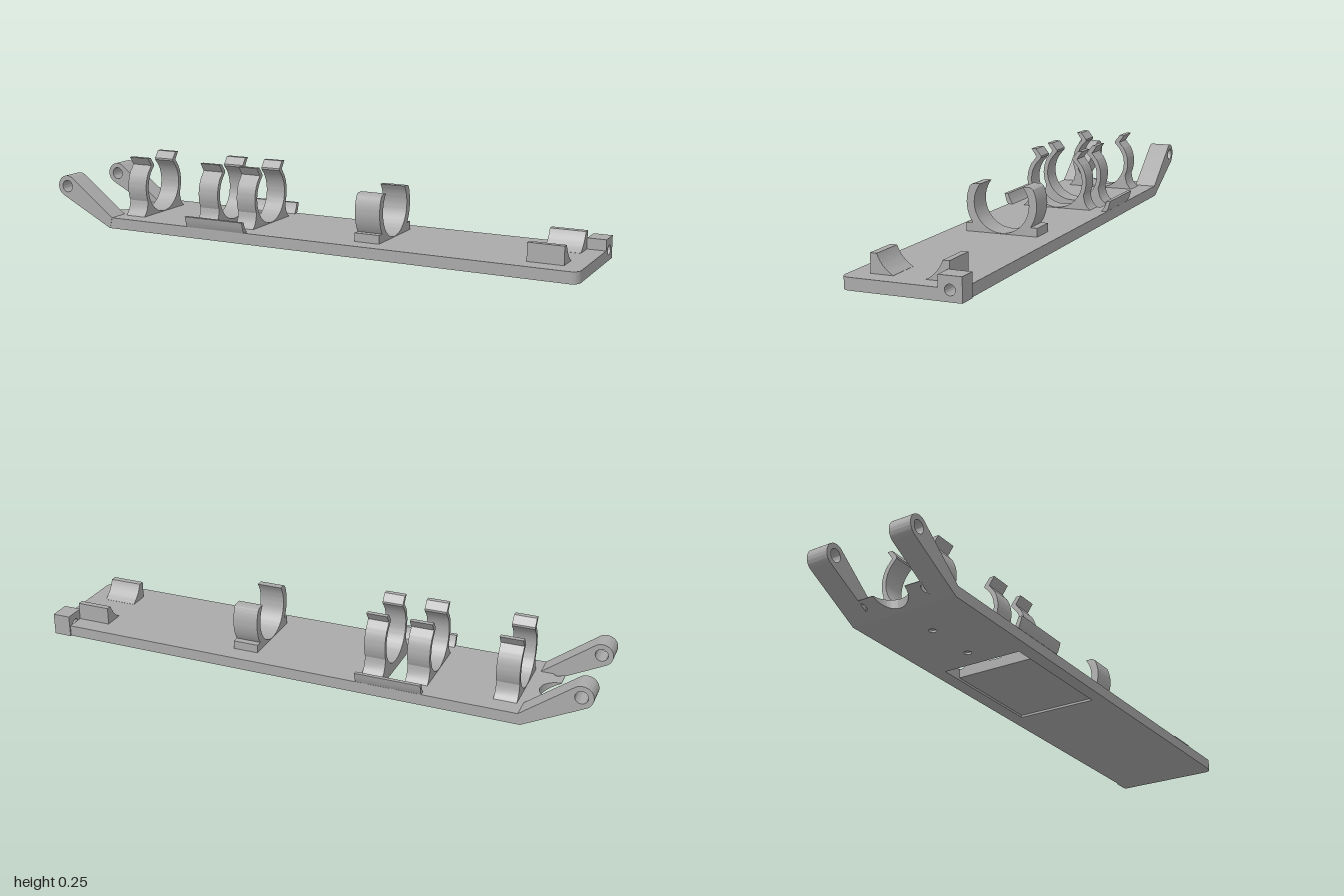
import * as THREE from 'three';
import { toCreasedNormals } from 'three/addons/utils/BufferGeometryUtils.js';

const T = 0.04;          // plate thickness
const R = 0.1;           // bore of the clips
const CY = 0.142;        // height of the clip axis

const polygon = (points) => new THREE.Shape(points.map(([x, y]) => new THREE.Vector2(x, y)));
const rect = (x0, x1, y0, y1) => polygon([[x0, y0], [x1, y0], [x1, y1], [x0, y1]]);
const circle = (x, y, r) => new THREE.Path().absarc(x, y, r, 0, Math.PI * 2, false);
const extrude = (shape, depth) => new THREE.ExtrudeGeometry(shape, { depth, bevelEnabled: false, curveSegments: 24 });

// points along an arc about the clip axis, as [z, y]
function arc(r, a0, a1, n = 20) {
  return Array.from({ length: n + 1 }, (_, i) => {
    const a = a0 + (a1 - a0) * i / n;
    return [r * Math.cos(a), CY + r * Math.sin(a)];
  });
}

export function createModel() {
  const model = new THREE.Group();
  model.name = 'clipTray';
  const grey = new THREE.MeshStandardMaterial({ color: 0xaaaaaa });
  grey.name = 'grey plastic';

  function add(name, geometry) {
    const mesh = new THREE.Mesh(toCreasedNormals(geometry, 0.5), grey);
    mesh.name = name;
    model.add(mesh);
    return mesh;
  }
  // plan outline in (x, -z), raised from y0 to y1
  const slab = (shape, y0, y1) => extrude(shape, y1 - y0).rotateX(-Math.PI / 2).translate(0, y0, 0);
  // cross-section in (-z, y), swept from x0 to x1
  const sweep = (shape, x0, x1) => extrude(shape, x1 - x0).rotateY(Math.PI / 2).translate(x0, 0, 0);

  // base plate: one rounded corner, one corner left out for the hinge block
  function plateShape() {
    const s = new THREE.Shape();
    s.moveTo(-0.77, -0.195);
    s.lineTo(0.97, -0.195);
    s.absarc(0.97, -0.165, 0.03, -Math.PI / 2, 0, false);
    s.lineTo(1, 0.125);
    s.lineTo(0.935, 0.125);
    s.lineTo(0.935, 0.197);
    s.lineTo(-0.77, 0.197);
    return s;
  }
  const top = plateShape();
  top.holes.push(rect(-0.35, -0.27, -0.147, 0.147));
  add('plateTop', slab(top, 0.008, T));
  const bottom = plateShape();
  bottom.holes.push(rect(-0.35, 0.12, -0.147, 0.147), circle(-0.62, 0, 0.013), circle(-0.43, 0, 0.013));
  add('plateUnderside', slab(bottom, 0, 0.008));

  // wedge-shaped tongue with a round notch and two small side notches
  const tongue = new THREE.Shape();
  tongue.moveTo(-0.77, -0.12);
  tongue.lineTo(-0.77, 0.12);
  tongue.lineTo(-0.807, 0.12);
  tongue.absarc(-0.82, 0.12, 0.014, 0, -Math.PI, true);
  tongue.lineTo(-0.845, 0.12);
  tongue.lineTo(-0.845, 0.06);
  tongue.absarc(-0.845, 0, 0.06, Math.PI / 2, -Math.PI / 2, true);
  tongue.lineTo(-0.845, -0.12);
  tongue.lineTo(-0.834, -0.12);
  tongue.absarc(-0.82, -0.12, 0.014, Math.PI, 0, true);
  const wedge = slab(tongue, 0, T);
  const p = wedge.attributes.position;
  for (let i = 0; i < p.count; i++) {
    if (p.getY(i) < 0.001) p.setY(i, Math.min(T - 0.001, (-0.77 - p.getX(i)) * 0.51));
  }
  add('notchedTongue', wedge);

  // pair of rising arms with pin eyes
  for (const z of [-0.197, 0.117]) {
    const arm = new THREE.Shape();
    arm.moveTo(-0.77, 0);
    arm.lineTo(-0.76, T);
    arm.absarc(-0.96, CY, 0.04, 0.93, 4.24, false);
    arm.holes.push(circle(-0.96, CY, 0.022));
    add('hingeArm', extrude(arm, 0.079).translate(0, 0, z));
  }

  // mirrored closed outline from one half, running from the axis out and back to it
  const both = (half) => polygon([...half, ...half.slice().reverse().map(([z, y]) => [-z, y])]);

  // tall spring clips with out-turned lips
  const tall = both([
    ...arc(R, -Math.PI / 2 + 0.001, 0.72, 28),
    [0.062, 0.222], [0.062, 0.229], [0.082, 0.255], [0.1, 0.255], [0.08, 0.226], [0.093, 0.209],
    ...arc(0.116, 0.58, -0.42, 14),
    [0.108, 0.08], [0.113, 0.063], [0.121, 0.05], [0.133, T - 0.001], [0.001, T - 0.001],
  ]);
  for (const [x0, x1] of [[-0.74, -0.66], [-0.43, -0.35], [-0.27, -0.195]]) {
    add('springClip', sweep(tall, x0, x1));
  }

  // low clip with thick jaws and square feet
  const low = both([
    ...arc(R, -Math.PI / 2 + 0.001, 0.681, 28),
    [0.1, 0.205], [0.108, 0.203],
    ...arc(0.128, 0.45, -0.597, 16),
    [0.13, 0.07], [0.13, T - 0.001], [0.001, T - 0.001],
  ]);
  add('lowClip', sweep(low, 0.203, 0.295));

  for (const s of [-1, 1]) {
    const mirrored = (points) => polygon(points.map(([z, y]) => [z * s, y]));
    // cradle blocks with a hollow inner face
    add('cradle', sweep(mirrored([
      [0.13, T - 0.001], [0.13, 0.103], ...arc(0.115, -0.35, -1.08, 10), [0.054, T - 0.001],
    ]), 0.812, 0.935));
    // flared side catches along the plate edges
    add('sideCatch', sweep(mirrored([
      [0.176, T - 0.001], [0.184, 0.05], [0.191, 0.064], [0.196, 0.079],
      [0.21, 0.079], [0.206, 0.063], [0.202, 0.051], [0.196, T - 0.001],
    ]), -0.43, -0.195));
  }

  // corner block with a pin hole along x
  const block = rect(0.125, 0.202, 0, 0.078);
  block.holes.push(circle(0.163, 0.036, 0.017));
  add('cornerBlock', sweep(block, 0.935, 1));

  return model;
}
